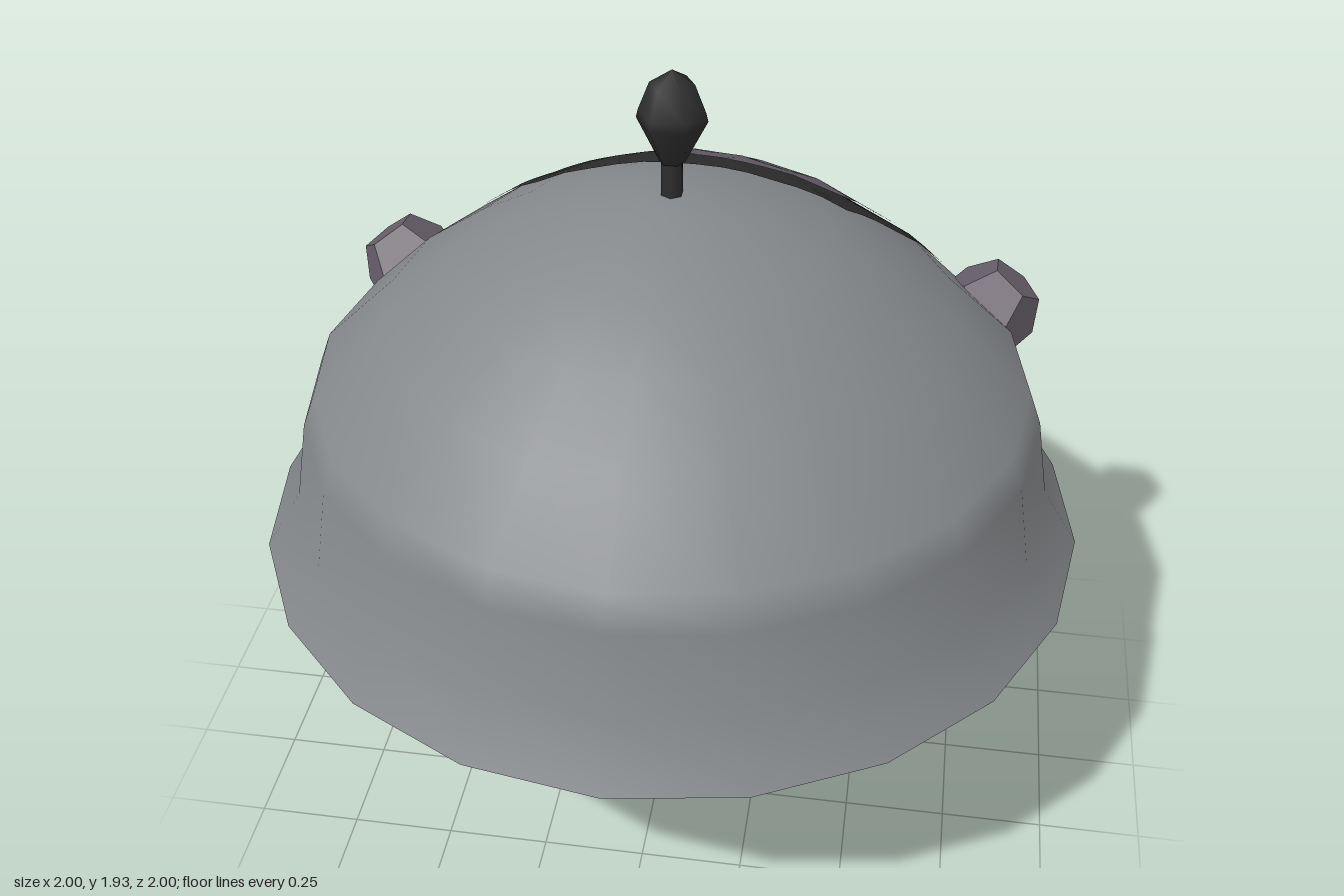
import * as THREE from 'three';
import { mergeVertices } from 'three/addons/utils/BufferGeometryUtils.js';

const V2 = (p) => new THREE.Vector2(p[0], p[1]);

export function createModel() {
  const group = new THREE.Group();
  const mat = (name, color) => {
    const m = new THREE.MeshStandardMaterial({ color });
    m.name = name;
    return m;
  };
  const grey = mat('grey shell', 0x85888b);
  const dark = mat('near black', 0x2d2d2d);
  const mauve = mat('dull mauve', 0x675e69);

  const add = (name, geometry, material) => {
    const mesh = new THREE.Mesh(geometry, material);
    mesh.name = name;
    group.add(mesh);
    return mesh;
  };

  // Dome: twenty-sided turned shell, slightly flattened at the back
  const domeProfile = [[1, 0.745], [0.91, 0.89], [0.875, 1.09], [0.845, 1.17], [0.67, 1.34],
    [0.5, 1.465], [0.37, 1.54], [0.22, 1.595], [0.1, 1.622], [0, 1.63]];
  let domeGeo = new THREE.LatheGeometry(domeProfile.map(V2), 20);
  const pos = domeGeo.attributes.position;
  for (let i = 0; i < pos.count; i++) {
    const x = pos.getX(i), y = pos.getY(i), z = pos.getZ(i);
    const r = Math.hypot(x, z) || 1;
    const back = Math.max(0, -z / r) ** 2;
    const bump = Math.max(0, 1 - Math.abs(y - 1.15) / 0.3);
    const k = 1 - 0.07 * back * bump;
    pos.setXYZ(i, x * k, y, z * k);
  }
  domeGeo.deleteAttribute('uv');
  domeGeo.deleteAttribute('normal');
  domeGeo = mergeVertices(domeGeo, 1e-4);
  domeGeo.computeVertexNormals();
  const dome = add('dome', domeGeo, grey);

  // Pointed underside
  add('lowerCone', new THREE.LatheGeometry([[0, 0], [1, 0.745]].map(V2), 20), dark);

  // Thin plate laid over the dome, from an outline in plan (x, z)
  const ray = new THREE.Raycaster();
  const down = new THREE.Vector3(0, -1, 0);
  const drape = (outline, lift) => {
    const edge = [], perEdge = 6, rings = 18;
    outline.forEach((p, i) => {
      const a = V2(p), b = V2(outline[(i + 1) % outline.length]);
      for (let k = 0; k < perEdge; k++) edge.push(a.clone().lerp(b, k / perEdge));
    });
    const centre = new THREE.Vector2();
    edge.forEach((p) => centre.addScaledVector(p, 1 / edge.length));
    const points = [], normals = [], index = [], n = edge.length;
    for (let i = 0; i <= rings; i++) {
      for (let j = 0; j < n; j++) {
        const p = centre.clone().lerp(edge[j], i / rings);
        let hit;
        for (let t = 0; t < 8 && !hit; t++) {
          ray.set(new THREE.Vector3(p.x + t * 1.3e-4, 3, p.y + t * 1.7e-4), down);
          hit = ray.intersectObject(dome)[0];
        }
        const q = hit.point.clone().addScaledVector(hit.normal, lift);
        points.push(q.x, q.y, q.z);
        normals.push(hit.normal.x, hit.normal.y, hit.normal.z);
        if (i < rings) {
          const a = i * n + j, b = i * n + (j + 1) % n;
          index.push(a, b, a + n, b, b + n, a + n);
        }
      }
    }
    const g = new THREE.BufferGeometry();
    g.setAttribute('position', new THREE.Float32BufferAttribute(points, 3));
    g.setAttribute('normal', new THREE.Float32BufferAttribute(normals, 3));
    g.setIndex(index);
    return g;
  };

  // Back window and its reflection
  add('window', drape([[-0.18, -0.905], [0.165, -0.905], [0.39, -0.85], [0.51, -0.77],
    [0.59, -0.67], [0.65, -0.5], [0.59, -0.38], [0.38, -0.2], [0.03, -0.185], [-0.35, -0.2],
    [-0.53, -0.345], [-0.65, -0.5], [-0.61, -0.69], [-0.4, -0.85]], 0.004), dark);
  add('windowReflection', drape([[-0.065, -0.28], [-0.005, -0.425], [0.11, -0.6], [0.245, -0.75],
    [0.38, -0.79], [0.52, -0.72], [0.57, -0.53], [0.48, -0.4], [0.38, -0.29], [0.22, -0.27]],
  0.009), mauve);

  // Faceted knobs either side of the window
  for (const side of [1, -1]) {
    const knob = add(side > 0 ? 'leftKnob' : 'rightKnob',
      new THREE.DodecahedronGeometry(0.124), mauve);
    knob.position.set(side * 0.745, 1.16, -0.38);
    knob.rotation.set(0.2, side * 0.45, side * 0.3);
  }

  // Antenna stalk and six-sided bulb
  const stalk = add('antennaStalk', new THREE.CylinderGeometry(0.026, 0.026, 0.15, 6), dark);
  stalk.position.y = 1.67;
  const bulb = add('antennaBulb', new THREE.LatheGeometry(
    [[0, 1.7], [0.03, 1.71], [0.08, 1.81], [0.075, 1.83], [0.05, 1.895], [0, 1.927]].map(V2), 6), dark);
  bulb.rotation.y = Math.PI / 2;

  return group;
}
